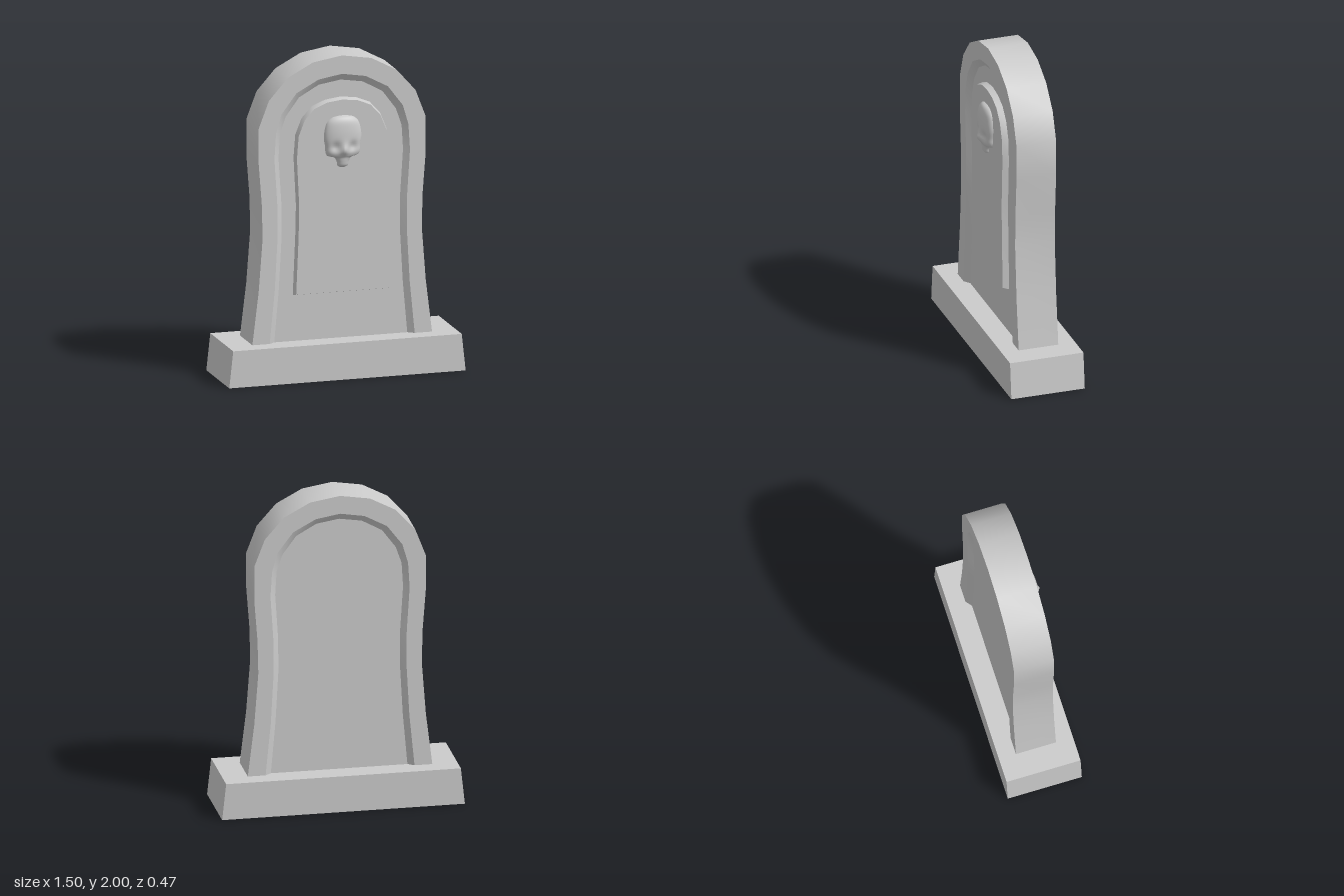
import * as THREE from 'three';
import { toCreasedNormals } from 'three/addons/utils/BufferGeometryUtils.js';

const material = new THREE.MeshStandardMaterial({ color: 0xcccccc });

// Right half of an outline, bottom to apex, mirrored into a full counter-clockwise outline
function mirrored(half) {
  const left = half.slice(0, -1).reverse().map(([x, y]) => [-x, y]);
  return [...half, ...left].map(([x, y]) => new THREE.Vector2(x, y));
}

// Joins equal-length outlines [ring, z] from back to front, filling the first and last
function loft(rings, closeBottom, fillBack) {
  const positions = [];
  const tri = (...pts) => pts.forEach(([p, z]) => positions.push(p.x, p.y, z));
  const n = rings[0][0].length;
  for (let r = 0; r < rings.length - 1; r++) {
    const [a, za] = rings[r], [b, zb] = rings[r + 1];
    for (let i = 0; i < (closeBottom ? n : n - 1); i++) {
      const j = (i + 1) % n;
      tri([a[i], za], [a[j], za], [b[j], zb]);
      tri([a[i], za], [b[j], zb], [b[i], zb]);
    }
  }
  const fill = ([ring, z], flip) => {
    for (const [a, b, c] of THREE.ShapeUtils.triangulateShape(ring, [])) {
      tri([ring[a], z], [ring[flip ? c : b], z], [ring[flip ? b : c], z]);
    }
  };
  fill(rings[rings.length - 1], false);
  if (fillBack) fill(rings[0], true);
  const geometry = new THREE.BufferGeometry();
  geometry.setAttribute('position', new THREE.Float32BufferAttribute(positions, 3));
  return toCreasedNormals(geometry, 0.5);
}

function add(group, name, geometry) {
  const mesh = new THREE.Mesh(geometry, material);
  mesh.name = name;
  group.add(mesh);
}

// Half skull relief: a sheet bent round rows of (half width, height, front depth)
function skullGeometry() {
  const rows = new THREE.CatmullRomCurve3([
    [0.03, 1.628, 0.135], [0.07, 1.617, 0.158], [0.1, 1.59, 0.172], [0.116, 1.54, 0.18],
    [0.12, 1.49, 0.183], [0.112, 1.44, 0.185], [0.11, 1.405, 0.183], [0.1, 1.382, 0.174],
    [0.055, 1.368, 0.168], [0.04, 1.345, 0.165], [0.035, 1.318, 0.158], [0.02, 1.304, 0.135],
  ].map((p) => new THREE.Vector3(...p)));
  const geometry = new THREE.PlaneGeometry(1, 1, 28, 44);
  const pos = geometry.attributes.position;
  const bump = (x, y, cx, cy, rx, ry) => Math.exp(-(((x - cx) / rx) ** 2) - ((y - cy) / ry) ** 2);
  for (let i = 0; i < pos.count; i++) {
    const row = rows.getPoint(0.5 - pos.getY(i));
    const angle = pos.getX(i) * Math.PI;
    const x = row.x * Math.sin(angle);
    let z = 0.12 + (row.z - 0.12) * Math.max(0, Math.cos(angle)) ** 0.7;
    // Eye hollows and the pointed nose
    z -= 0.016 * bump(Math.abs(x), row.y, 0.052, 1.44, 0.028, 0.03);
    z += 0.016 * bump(x, row.y, 0, 1.42, 0.02, 0.03);
    pos.setXYZ(i, x, row.y, z);
  }
  geometry.computeVertexNormals();
  return geometry;
}

export function createModel() {
  const group = new THREE.Group();
  group.name = 'gravestone';

  // Plinth, with its ends leaning inward
  const plinth = new THREE.BoxGeometry(1.5, 0.23, 0.47).translate(0, 0.115, 0);
  const pos = plinth.attributes.position;
  for (let i = 0; i < pos.count; i++) {
    if (pos.getY(i) > 0.1) pos.setX(i, Math.sign(pos.getX(i)) * 0.725);
  }
  plinth.computeVertexNormals();
  add(group, 'plinth', plinth);

  // Headstone, with a sloped recess on both faces
  const outer = mirrored([[0.57, 0.23], [0.53, 0.56], [0.505, 0.89], [0.51, 1.1], [0.53, 1.36],
    [0.53, 1.58], [0.465, 1.75], [0.345, 1.885], [0.185, 1.97], [0, 2]]);
  const rim = mirrored([[0.46, 0.23], [0.428, 0.56], [0.41, 0.89], [0.412, 1.1], [0.43, 1.38],
    [0.42, 1.54], [0.385, 1.66], [0.29, 1.785], [0.15, 1.86], [0, 1.885]]);
  const panel = mirrored([[0.422, 0.23], [0.393, 0.56], [0.375, 0.89], [0.377, 1.1], [0.395, 1.38],
    [0.386, 1.53], [0.35, 1.635], [0.265, 1.75], [0.14, 1.82], [0, 1.842]]);
  const face = 0.127, recess = 0.097;
  add(group, 'headstone', loft([[panel, -recess], [rim, -face], [outer, -face],
    [outer, face], [rim, face], [panel, recess]], false, true));

  // Raised inscription plaque with a narrow bevel
  const plaque = [[0.306, 0.515], [0.29, 0.89], [0.286, 1.08], [0.301, 1.38], [0.29, 1.52],
    [0.25, 1.62], [0.185, 1.69], [0.1, 1.725], [0, 1.738]];
  const plaqueTop = plaque.map(([x, y], i) => [x * 0.962, i === 0 ? y + 0.012 : y - 0.012 * (i / 8)]);
  add(group, 'plaque', loft([[mirrored(plaque), recess - 0.005], [mirrored(plaqueTop), 0.135]], true, false));

  add(group, 'skullRelief', skullGeometry());
  return group;
}
